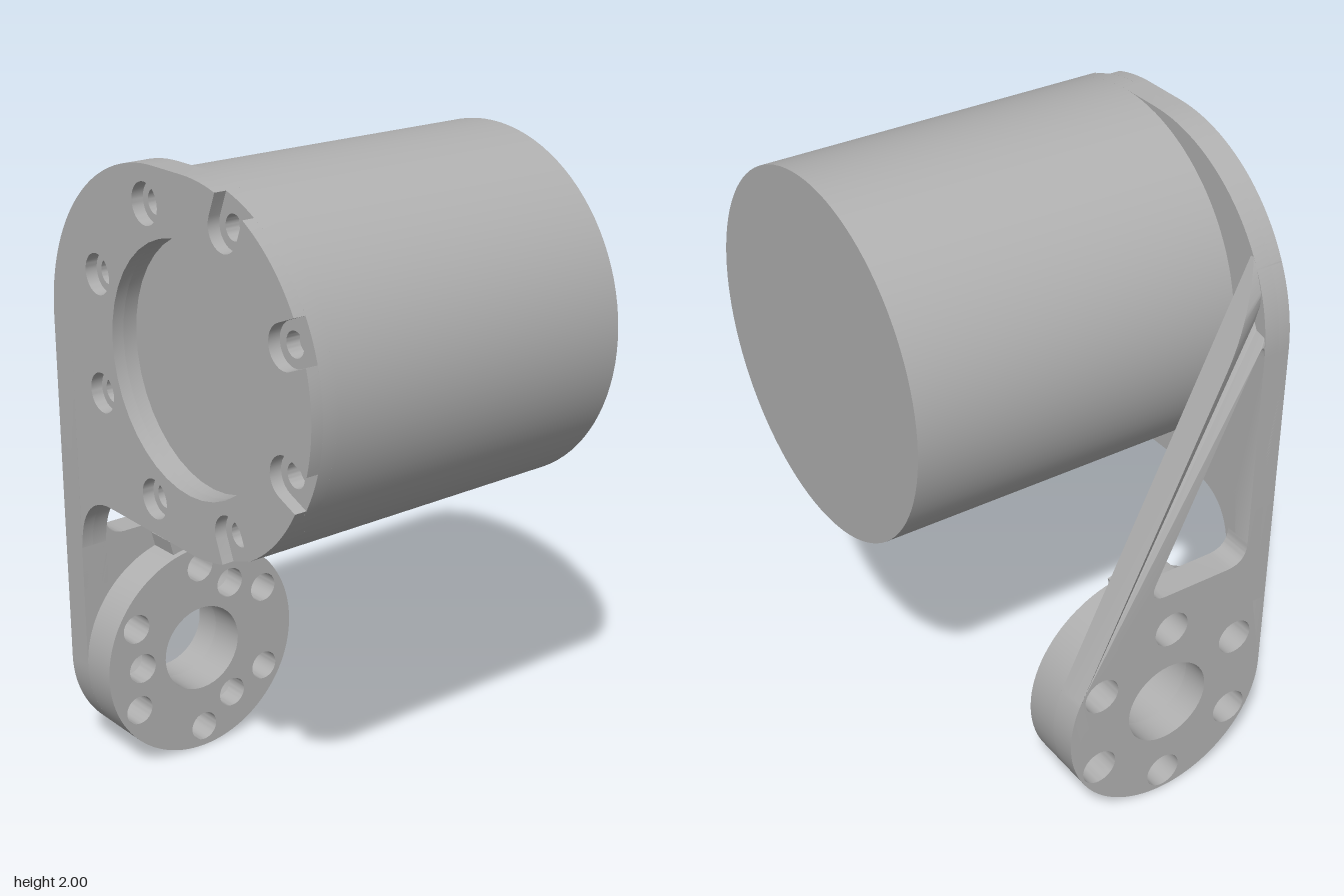
import * as THREE from 'three';
import { toCreasedNormals } from 'three/addons/utils/BufferGeometryUtils.js';

const V = (x, y) => new THREE.Vector2(x, y);
const polar = (c, r, a) => V(c.x + r * Math.cos(a), c.y + r * Math.sin(a));
const rad = THREE.MathUtils.degToRad;

// points along an arc, angles in degrees
function arc(c, r, a0, a1, n = 24) {
  return Array.from({ length: n + 1 }, (_, i) => polar(c, r, rad(a0 + (a1 - a0) * i / n)));
}

function circleHole(c, r) {
  return new THREE.Path().absarc(c.x, c.y, r, 0, Math.PI * 2, true);
}

// closed path with each corner rounded by a quadratic curve
function roundedPath(pts, r) {
  const path = new THREE.Path();
  pts.forEach((p, i) => {
    const prev = pts[(i + pts.length - 1) % pts.length], next = pts[(i + 1) % pts.length];
    const a = p.clone().add(prev.clone().sub(p).setLength(r));
    const b = p.clone().add(next.clone().sub(p).setLength(r));
    if (i) path.lineTo(a.x, a.y); else path.moveTo(a.x, a.y);
    path.quadraticCurveTo(p.x, p.y, b.x, b.y);
  });
  path.closePath();
  return path;
}

function extrude(points, holes, depth) {
  const shape = new THREE.Shape(points);
  shape.holes.push(...holes);
  return new THREE.ExtrudeGeometry(shape, { depth, bevelEnabled: false, curveSegments: 20 });
}

export function createModel() {
  const group = new THREE.Group();
  const grey = new THREE.MeshStandardMaterial({ color: 0xb0b0b0 });
  grey.name = 'grey metal';
  const add = (name, geo) => {
    const mesh = new THREE.Mesh(toCreasedNormals(geo, 0.5), grey);
    mesh.name = name;
    group.add(mesh);
    return mesh;
  };

  const LEFT = -0.55, BACK = -0.6, R = 0.535, CY = 1.465;

  // Motor body
  const body = new THREE.CylinderGeometry(R, R, 1.02, 96).rotateZ(Math.PI / 2);
  add('motorBody', body).position.set(0.04, CY, 0.07);

  // Side plate, drawn in (-z, y) and extruded along x
  const hub = V(-0.07, CY);
  const boltR = 0.46, slot = 0.063;
  const openBolts = [112.5, 157.5, 202.5, 247.5];
  const closedBolts = [-67.5, -22.5, 22.5, 67.5];
  const rearEdge = [
    V(0.32, 0.935),
    ...new THREE.QuadraticBezierCurve(V(0.36, 0.935), V(0.5, 0.92), V(0.51, 0.75)).getPoints(12),
    V(0.51, 0.6), V(0.6, 0.6), ...arc(V(0.065, CY), R, 0, 90, 32),
  ];
  const innerOutline = [...arc(hub, R, 90, 270, 64), ...rearEdge];

  // The outer layer has screw slots that open through the front rim
  const slottedRim = [];
  const half = THREE.MathUtils.radToDeg(Math.asin(slot / R));
  let from = 90;
  for (const a of openBolts) {
    slottedRim.push(...arc(hub, R, from, a - half, 12));
    slottedRim.push(...arc(polar(hub, boltR, rad(a)), slot, a - 90, a - 270, 14));
    from = a + half;
  }
  slottedRim.push(...arc(hub, R, from, 270, 12));

  const recess = () => circleHole(hub, 0.36);
  const boltHole = r => a => circleHole(polar(hub, boltR, rad(a)), r);
  const layers = [
    ['sidePlateOuter', [...slottedRim, ...rearEdge], closedBolts.map(boltHole(0.06)), 0, 0.037],
    ['sidePlateInner', innerOutline, [...openBolts, ...closedBolts].map(boltHole(0.036)), 0.037, 0.048],
  ];
  for (const [name, outline, bolts, offset, depth] of layers) {
    const geo = extrude(outline, [recess(), ...bolts], depth).rotateY(Math.PI / 2);
    add(name, geo).position.x = LEFT + offset;
  }

  // Back plate: round foot, slanted edge and triangular window
  const foot = V(-0.203, 0.349), footR = 0.348;
  const slope = 2.16, tilt = Math.atan(1 / slope);
  const tangent = polar(foot, footR, tilt);
  const edgeX = y => tangent.x - (y - tangent.y) / slope;
  const steps = Array.from({ length: 13 }, (_, i) => CY + 0.297 * i / 12);
  const plateOutline = [
    ...arc(foot, footR, 180, 360 + THREE.MathUtils.radToDeg(tilt), 64),
    ...steps.map(y => V(edgeX(y), y)),
    ...steps.slice().reverse().map(y => V(LEFT, y)),
  ];
  const footHoles = r => [30, 90, 150, 210, 270, 330].map(a => circleHole(polar(foot, 0.28, rad(a)), r));
  const bore = () => circleHole(foot, 0.14);
  const windowPath = roundedPath([V(-0.465, 0.765), V(-0.465, 1.534), V(-0.108, 0.765)], 0.07);
  const plate = extrude(plateOutline, [windowPath, bore(), ...footHoles(0.058)], 0.09);
  plate.translate(0, 0, BACK);
  // Curve the top of the plate forward to follow the side plate
  const pos = plate.attributes.position;
  for (let i = 0; i < pos.count; i++) {
    const dy = pos.getY(i) - CY;
    if (dy > 0) pos.setZ(i, Math.max(pos.getZ(i), -0.065 - Math.sqrt(R * R - dy * dy)));
  }
  plate.computeVertexNormals();
  add('backPlate', plate);

  // Mounting boss with through holes and three drilled dimples
  const dimples = [60, 180, 300].map(a => polar(foot, 0.225, rad(a)));
  const boss = extrude(arc(foot, footR, 0, 360, 96).slice(0, -1),
    [bore(), ...footHoles(0.047), ...dimples.map(c => circleHole(c, 0.048))], 0.12);
  add('mountingBoss', boss).position.z = -0.51;

  // Conical floors of the dimples, facing forward
  for (const c of dimples) {
    const floor = new THREE.LatheGeometry([V(0, -0.03), V(0.049, 0)], 24).rotateX(Math.PI / 2);
    const mesh = add('dimpleFloor', floor);
    mesh.position.set(c.x, c.y, -0.465);
    mesh.material = dimpleMaterial(grey);
  }

  // Locating tab on top of the boss
  const tab = extrude([...arc(foot, 0.34, 76, 104, 10), ...arc(foot, 0.396, 104, 76, 10)], [], 0.1);
  add('locatingTab', tab).position.z = -0.51;

  return group;
}

// the thin dimple floors share the one grey, shown from both sides
function dimpleMaterial(material) {
  material.side = THREE.DoubleSide;
  return material;
}
